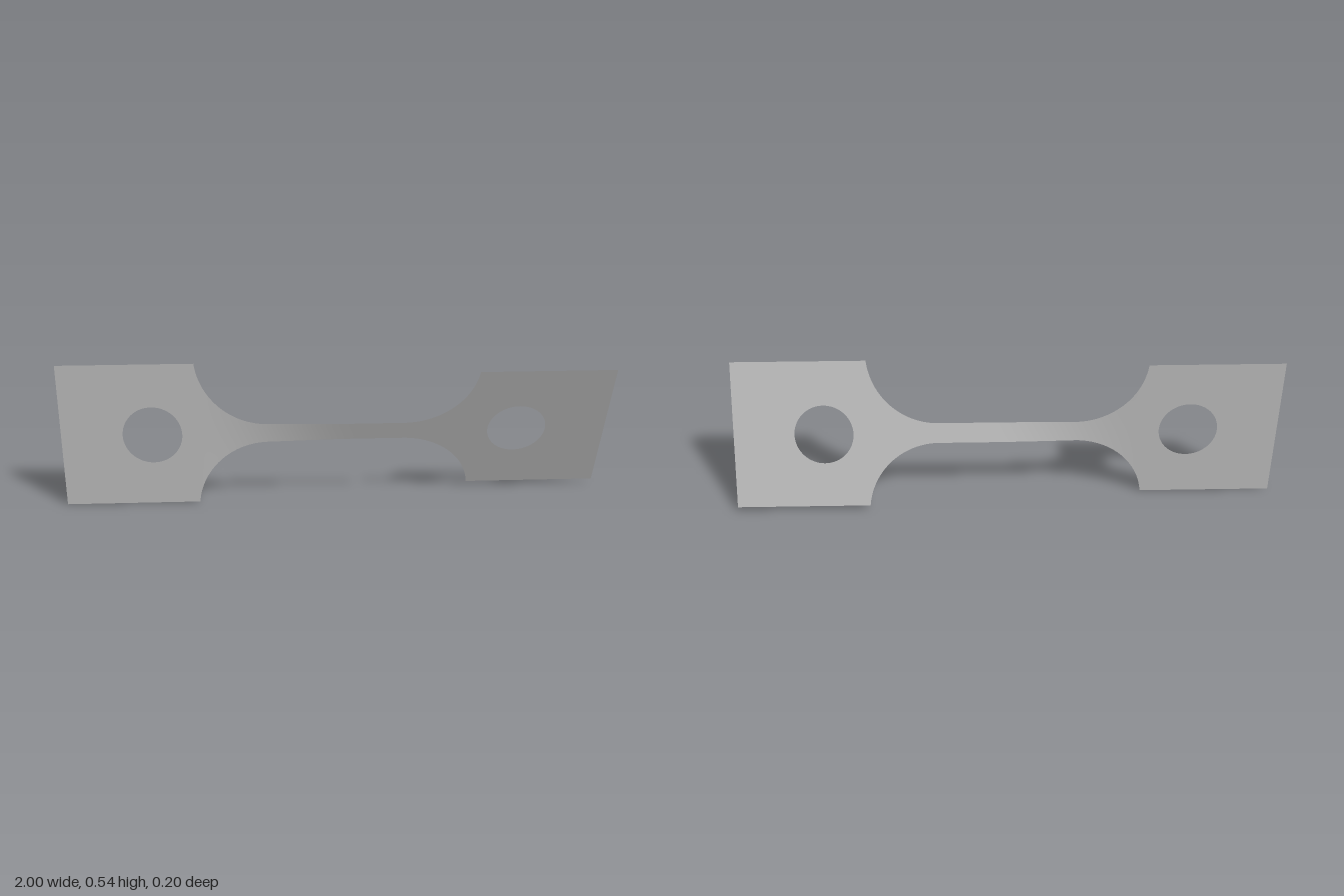
import * as THREE from 'three';

const CENTER_Y = 0.271, HALF = 0.271;          // mid height and half height of the grips
const FILLET_R = 0.26, FILLET_X = 0.25, NECK = 0.037;
const SHOULDER = FILLET_X + Math.sqrt(FILLET_R ** 2 - (NECK + FILLET_R - HALF) ** 2);

// Half width of the web at x: straight neck, then circular fillets
function halfWidth(x) {
  const d = Math.max(0, Math.abs(x) - FILLET_X);
  return NECK + FILLET_R - Math.sqrt(FILLET_R ** 2 - d * d);
}

// Twist the flat sheet about the x axis, mostly along the left part of the neck
function twist(geometry) {
  const p = geometry.attributes.position;
  for (let i = 0; i < p.count; i++) {
    const x = p.getX(i), y = p.getY(i);
    const t = THREE.MathUtils.smoothstep(x, -0.5, 0.1);
    const a = 0.011 + t * 0.358;
    p.setXYZ(i, x, CENTER_Y + y * Math.cos(a), y * Math.sin(a) + 0.002 * (1 - t));
  }
  geometry.computeVertexNormals();
  return geometry;
}

// Rectangular grip with a round pin hole
function gripGeometry(side) {
  const inner = side * SHOULDER, outer = side;
  const shape = new THREE.Shape([
    new THREE.Vector2(inner, -HALF), new THREE.Vector2(outer, -HALF),
    new THREE.Vector2(outer, HALF), new THREE.Vector2(inner, HALF),
  ]);
  const hole = new THREE.Path();
  hole.absarc(side * 0.67, 0, 0.108, 0, Math.PI * 2, true);
  shape.holes.push(hole);
  return twist(new THREE.ShapeGeometry(shape, 32));
}

// Narrow web between the grips, with samples crowded toward the steep fillet ends
function webGeometry() {
  const geometry = new THREE.PlaneGeometry(2, 2, 120, 8);
  const p = geometry.attributes.position;
  for (let i = 0; i < p.count; i++) {
    const x = SHOULDER * Math.sin(p.getX(i) * Math.PI / 2);
    p.setXY(i, x, p.getY(i) * halfWidth(x));
  }
  return twist(geometry);
}

export function createModel() {
  const steel = new THREE.MeshStandardMaterial({ color: 0xb8b8b8, side: THREE.DoubleSide });
  steel.name = 'grey steel';
  const model = new THREE.Group();
  model.name = 'twistedTestStrip';
  const add = (name, geometry) => {
    const mesh = new THREE.Mesh(geometry, steel);
    mesh.name = name;
    model.add(mesh);
  };
  add('rightGrip', gripGeometry(-1));
  add('leftGrip', gripGeometry(1));
  add('twistedNeck', webGeometry());
  return model;
}
